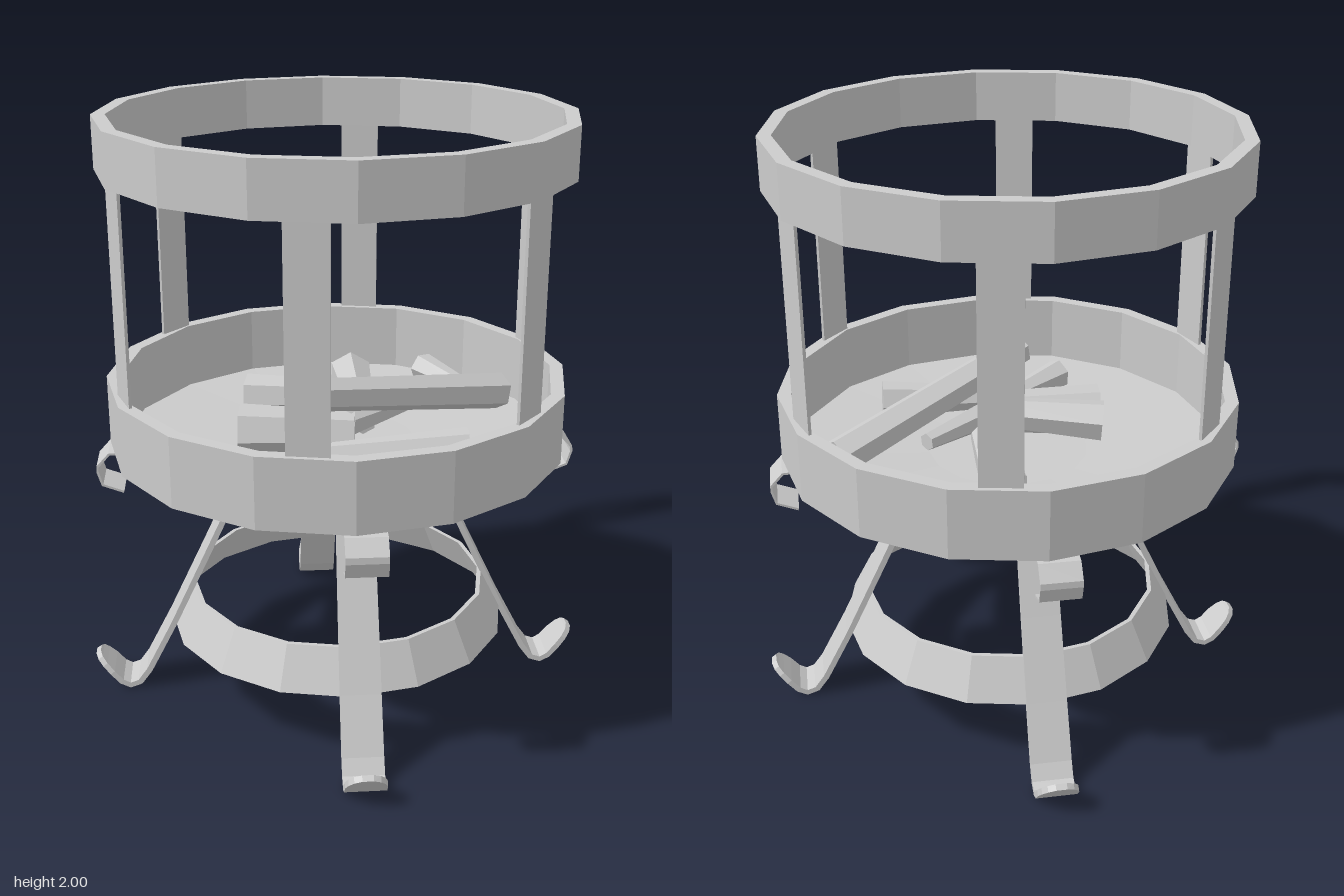
import * as THREE from 'three';

const metal = new THREE.MeshStandardMaterial({ color: 0xcccccc, flatShading: true });

function add(parent, geometry, name) {
  const mesh = new THREE.Mesh(geometry, metal);
  mesh.name = name;
  parent.add(mesh);
  return mesh;
}

// 16-sided turned part from [radius, height] points
function turned(points) {
  return new THREE.LatheGeometry(points.map(([r, y]) => new THREE.Vector2(r, y)), 16);
}

// Closed band; the radius may differ at bottom and top
function band(rBottom, rTop, y0, y1, wall) {
  return turned([[rBottom, y0], [rTop, y1], [rTop - wall, y1], [rBottom - wall, y0], [rBottom, y0]]);
}

// Bent flat strip: path of [z, y, halfWidth], with the width along x
function strip(path, thickness, offsetX) {
  const positions = [], index = [];
  path.forEach(([z, y, w], i) => {
    const a = path[Math.max(i - 1, 0)], b = path[Math.min(i + 1, path.length - 1)];
    const tangent = new THREE.Vector2(b[0] - a[0], b[1] - a[1]).normalize();
    const nz = -tangent.y * thickness / 2, ny = tangent.x * thickness / 2;
    for (const [sx, sn] of [[-1, 1], [1, 1], [1, -1], [-1, -1]]) {
      positions.push(offsetX + sx * w, y + sn * ny, z + sn * nz);
    }
  });
  const quad = (a, b, c, d) => index.push(a, b, c, a, c, d);
  for (let i = 0; i < path.length - 1; i++) {
    for (let j = 0; j < 4; j++) {
      const k = (j + 1) % 4, p = i * 4;
      quad(p + j, p + 4 + j, p + 4 + k, p + k);
    }
  }
  const e = (path.length - 1) * 4;
  quad(0, 1, 2, 3);
  quad(e + 3, e + 2, e + 1, e);
  const geometry = new THREE.BufferGeometry();
  geometry.setAttribute('position', new THREE.Float32BufferAttribute(positions, 3));
  geometry.setIndex(index);
  geometry.computeVertexNormals();
  return geometry;
}

export function createModel() {
  const model = new THREE.Group();
  model.name = 'fireBasket';

  // Basket: two hoops, shallow dished floor, small disc under its centre
  add(model, band(0.765, 0.765, 1.83, 2, 0.045), 'topHoop');
  add(model, band(0.765, 0.765, 0.905, 1.14, 0.045), 'bottomHoop');
  add(model, turned([[0, 0.873], [0.27, 0.875], [0.75, 0.906], [0.75, 0.915], [0.27, 0.888], [0, 0.886]]), 'floor');
  add(model, turned([[0, 0.85], [0.28, 0.85], [0.27, 0.878], [0, 0.878]]), 'floorHub');

  // Six flat uprights between the hoops
  for (let i = 0; i < 6; i++) {
    const angle = THREE.MathUtils.degToRad(-10.7 + i * 60);
    const post = add(model, new THREE.BoxGeometry(0.132, 1.02, 0.01), 'upright');
    post.position.set(0.73 * Math.sin(angle), 1.43, 0.73 * Math.cos(angle));
    post.rotation.y = angle;
  }

  // Four legs with curled feet, each with a strap hooked under the basket
  const legPath = [
    [0.28, 0.865, 0.062], [0.36, 0.715, 0.063], [0.46, 0.5, 0.065], [0.58, 0.245, 0.067],
    [0.67, 0.07, 0.068], [0.705, 0.022, 0.068], [0.74, 0.01, 0.068], [0.77, 0.026, 0.068],
    [0.8, 0.062, 0.067], [0.825, 0.09, 0.058], [0.842, 0.11, 0.042], [0.85, 0.121, 0.018],
  ];
  const strapPath = [
    [0.27, 0.868], [0.74, 0.898], [0.765, 0.897], [0.805, 0.853],
    [0.806, 0.835], [0.792, 0.787], [0.722, 0.76],
  ].map(([z, y]) => [z, y, 0.065]);
  const legGeometry = strip(legPath, 0.02, 0.033);
  const strapGeometry = strip(strapPath, 0.008, 0.03);
  for (let i = 0; i < 4; i++) {
    const side = new THREE.Group();
    side.name = 'legAssembly';
    add(side, legGeometry, 'leg');
    add(side, strapGeometry, 'hookStrap');
    side.rotation.y = i * Math.PI / 2;
    model.add(side);
  }
  add(model, band(0.585, 0.515, 0.24, 0.38, 0.015), 'legBrace');

  // Firewood: [start], [end], start radius, end radius
  const wood = new THREE.Group();
  wood.name = 'firewood';
  const logs = [
    [[-0.08, 1.145, 0.24], [0.585, 0.985, -0.175], 0.055, 0.065],
    [[-0.33, 0.965, 0.08], [0.05, 0.965, 0.12], 0.09, 0.07],
    [[-0.3, 1.02, -0.115], [0.075, 1.04, -0.02], 0.07, 0.05],
    [[0.08, 0.97, -0.44], [0.09, 0.95, 0.0], 0.08, 0.045],
    [[0.355, 0.96, -0.51], [0.505, 0.94, -0.3], 0.055, 0.03],
    [[-0.255, 0.95, 0.425], [-0.05, 0.94, 0.28], 0.055, 0.03],
    [[0.405, 0.965, 0.275], [-0.05, 0.95, 0.26], 0.065, 0.035],
    [[0.29, 0.99, -0.12], [0.02, 0.99, 0.09], 0.03, 0.055],
  ];
  for (const [from, to, r0, r1] of logs) {
    const a = new THREE.Vector3(...from), b = new THREE.Vector3(...to);
    const axis = b.clone().sub(a);
    const log = add(wood, new THREE.CylinderGeometry(r1, r0, axis.length(), 6), 'log');
    log.position.copy(a).add(b).multiplyScalar(0.5);
    log.quaternion.setFromUnitVectors(new THREE.Vector3(0, 1, 0), axis.normalize());
  }
  model.add(wood);

  return model;
}
